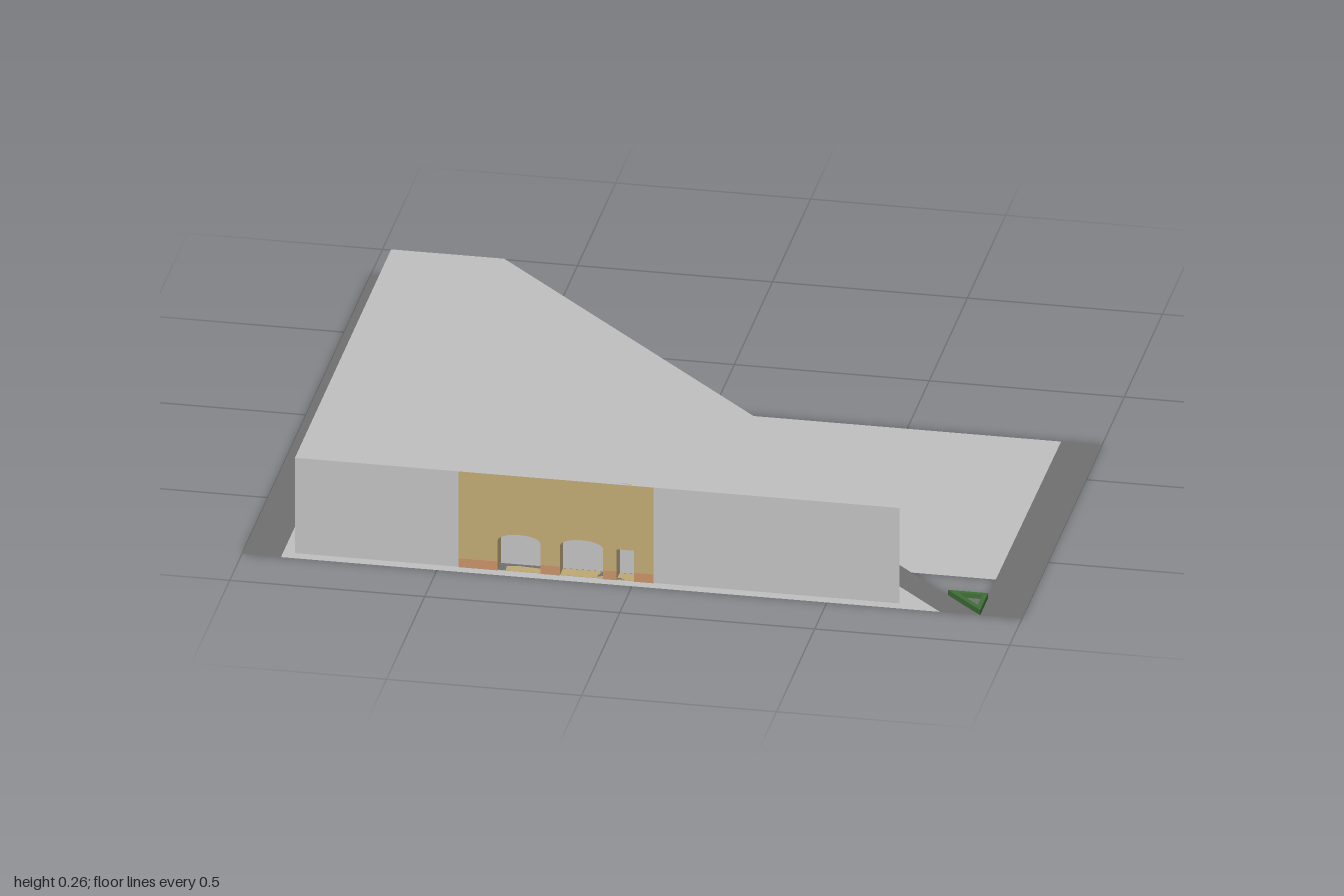
import * as THREE from 'three';

const mat = (name, color, side = THREE.DoubleSide) => {
  const m = new THREE.MeshStandardMaterial({ color, side });
  m.name = name;
  return m;
};

export function createModel() {
  const concrete = mat('concrete', 0xc0c0c0);
  const asphalt = mat('asphalt', 0x707070);
  const ochre = mat('ochre', 0xbfa974);
  const plinth = mat('plinth', 0xc79268);
  const stone = mat('stone', 0xb98a5c);
  const trim = mat('trim', 0x6e5138);
  const slate = mat('slate', 0x434a43);
  const green = mat('hedgeGreen', 0x3f6e35);
  const white = mat('white', 0xe8e8e8);

  const root = new THREE.Group();
  const add = (name, geo, material, parent = root) => {
    const mesh = new THREE.Mesh(geo, material);
    mesh.name = name;
    parent.add(mesh);
    return mesh;
  };

  // Horizontal shape from [x, z] points
  const plan = (pts) => new THREE.Shape(pts.map(([x, z]) => new THREE.Vector2(x, -z)));
  const flat = (name, pts, y, material) => {
    const geo = new THREE.ShapeGeometry(plan(pts)).rotateX(-Math.PI / 2);
    return add(name, geo.translate(0, y, 0), material);
  };

  // Upright sheet between two plan points
  const wall = (name, [x0, z0], [x1, z1], h, material) => {
    const geo = new THREE.PlaneGeometry(Math.hypot(x1 - x0, z1 - z0), h);
    geo.rotateY(-Math.atan2(z1 - z0, x1 - x0));
    return add(name, geo.translate((x0 + x1) / 2, h / 2, (z0 + z1) / 2), material);
  };

  // Opening outline with a flattened arch on top
  const archPath = (x0, x1, y0, spring, rise) => {
    const p = new THREE.Path();
    p.moveTo(x0, y0);
    p.lineTo(x1, y0);
    p.lineTo(x1, spring);
    if (rise > 0) p.absellipse((x0 + x1) / 2, spring, (x1 - x0) / 2, rise, 0, Math.PI, false);
    else p.lineTo(x0, spring);
    p.lineTo(x0, y0);
    return p;
  };
  const rect = (x0, x1, y0, y1) => new THREE.Shape([
    new THREE.Vector2(x0, y0), new THREE.Vector2(x1, y0),
    new THREE.Vector2(x1, y1), new THREE.Vector2(x0, y1)]);

  // Streets
  flat('leftStreet', [[-1, -0.84], [-0.9, -0.84], [-0.9, 0.84], [-1, 0.84]], 0, asphalt);
  flat('diagonalStreet',
    [[-0.9, -0.84], [-0.79, -0.84], [0.89, 0.84], [0.79, 0.84], [-0.58, -0.53], [-0.9, -0.53]], 0, asphalt);
  flat('rightStreet', [[0.895, -0.21], [1, -0.21], [1, 0.84], [0.89, 0.84]], 0, asphalt);

  // Pavements
  const paving = plan([[-0.9, -0.53], [-0.58, -0.53], [0.79, 0.84], [-0.9, 0.84]]);
  const body = [[-0.87, -0.45], [-0.58, -0.45], [0.68, 0.81], [-0.87, 0.81]];
  paving.holes.push(plan(body));
  add('pavement', new THREE.ShapeGeometry(paving).rotateX(-Math.PI / 2), concrete);
  flat('neighbouringPlot', [[-0.16, -0.21], [0.895, -0.21], [0.895, 0.625], [0.675, 0.625]], 0, concrete);

  // Main building shell
  const H = 0.265;
  flat('mainRoof', body, H, concrete);
  wall('backWall', body[0], body[1], H, concrete);
  wall('diagonalWall', body[1], body[2], H, concrete);
  wall('leftWall', body[3], body[0], H, concrete);
  wall('frontWallWest', body[3], [-0.45, 0.81], H, concrete);
  wall('frontWallEast', [0.05, 0.81], body[2], H, concrete);
  flat('shopFloor', [[-0.45, 0.31], [0.05, 0.31], [0.05, 0.81], [-0.45, 0.81]], 0.001, asphalt);

  // Ochre front section with two arches and a door
  const openings = [[-0.35, -0.24, 0.082, 0.02], [-0.19, -0.08, 0.082, 0.02], [-0.045, 0, 0.085, 0]];
  const front = rect(-0.45, 0.05, 0, H);
  openings.forEach(([a, b, s, r]) => front.holes.push(archPath(a, b, 0.001, s, r)));
  add('ochreFacade', new THREE.ExtrudeGeometry(front, { depth: 0.04, bevelEnabled: false, curveSegments: 10 })
    .translate(0, 0, 0.77), ochre);
  openings.forEach(([a, b, s, r]) => add('recessPanel',
    new THREE.PlaneGeometry(b - a, s + r).translate((a + b) / 2, (s + r) / 2, 0.769), concrete));
  [[-0.45, -0.35], [-0.24, -0.19], [-0.08, -0.045], [0, 0.05]].forEach(([a, b]) => add('plinthStrip',
    new THREE.BoxGeometry(b - a, 0.025, 0.003).translate((a + b) / 2, 0.0125, 0.811), plinth));

  // Three-sided arcaded bay at the back
  const bay = new THREE.Group();
  bay.name = 'arcadedBay';
  root.add(bay);
  const corners = [[-0.58, -0.45], [-0.66, -0.497], [-0.79, -0.497], [-0.87, -0.45]];
  for (let i = 0; i < 3; i++) {
    const [x0, z0] = corners[i], [x1, z1] = corners[i + 1];
    const w = Math.hypot(x1 - x0, z1 - z0), m = 0.018;
    const side = new THREE.Group();
    side.name = 'baySide';
    side.position.set(x0, 0, z0);
    side.rotation.y = -Math.atan2(z1 - z0, x1 - x0);
    bay.add(side);
    const face = rect(0, w, 0, 0.19);
    face.holes.push(archPath(m, w - m, 0.001, 0.06, 0.015));
    face.holes.push(archPath(m, w - m, 0.098, 0.142, 0.015));
    add('arcade', new THREE.ExtrudeGeometry(face, { depth: 0.012, bevelEnabled: false, curveSegments: 8 })
      .translate(0, 0, -0.012), stone, side);
    for (const [y, h] of [[0.086, 0.012], [0.18, 0.018]])
      add('trimBand', new THREE.BoxGeometry(w, h, 0.004).translate(w / 2, y, 0.002), trim, side);
  }

  // Hipped bay roof: eave points joined to the ridge on the wall
  const e = [[-0.575, 0.19, -0.451], [-0.66, 0.19, -0.505], [-0.79, 0.19, -0.505], [-0.875, 0.19, -0.451]];
  const r = [[-0.66, 0.235, -0.451], [-0.79, 0.235, -0.451]];
  const tris = [e[0], e[1], r[0], e[1], e[2], r[1], e[1], r[1], r[0], e[2], e[3], r[1]];
  const roof = new THREE.BufferGeometry();
  roof.setAttribute('position', new THREE.Float32BufferAttribute(tris.flat(), 3));
  roof.computeVertexNormals();
  add('bayRoof', roof, slate, bay);
  add('dormer', new THREE.BoxGeometry(0.014, 0.02, 0.016).translate(-0.725, 0.217, -0.482), white, bay);

  // Triangular hedge at the street corner
  const hedge = plan([[0.79, 0.737], [0.893, 0.737], [0.893, 0.84]]);
  hedge.holes.push(plan([[0.82, 0.749], [0.881, 0.749], [0.881, 0.81]]));
  add('hedge', new THREE.ExtrudeGeometry(hedge, { depth: 0.014, bevelEnabled: false })
    .rotateX(-Math.PI / 2), green);
  flat('hedgeBed', [[0.82, 0.749], [0.881, 0.749], [0.881, 0.81]], 0.002, asphalt);

  return root;
}
